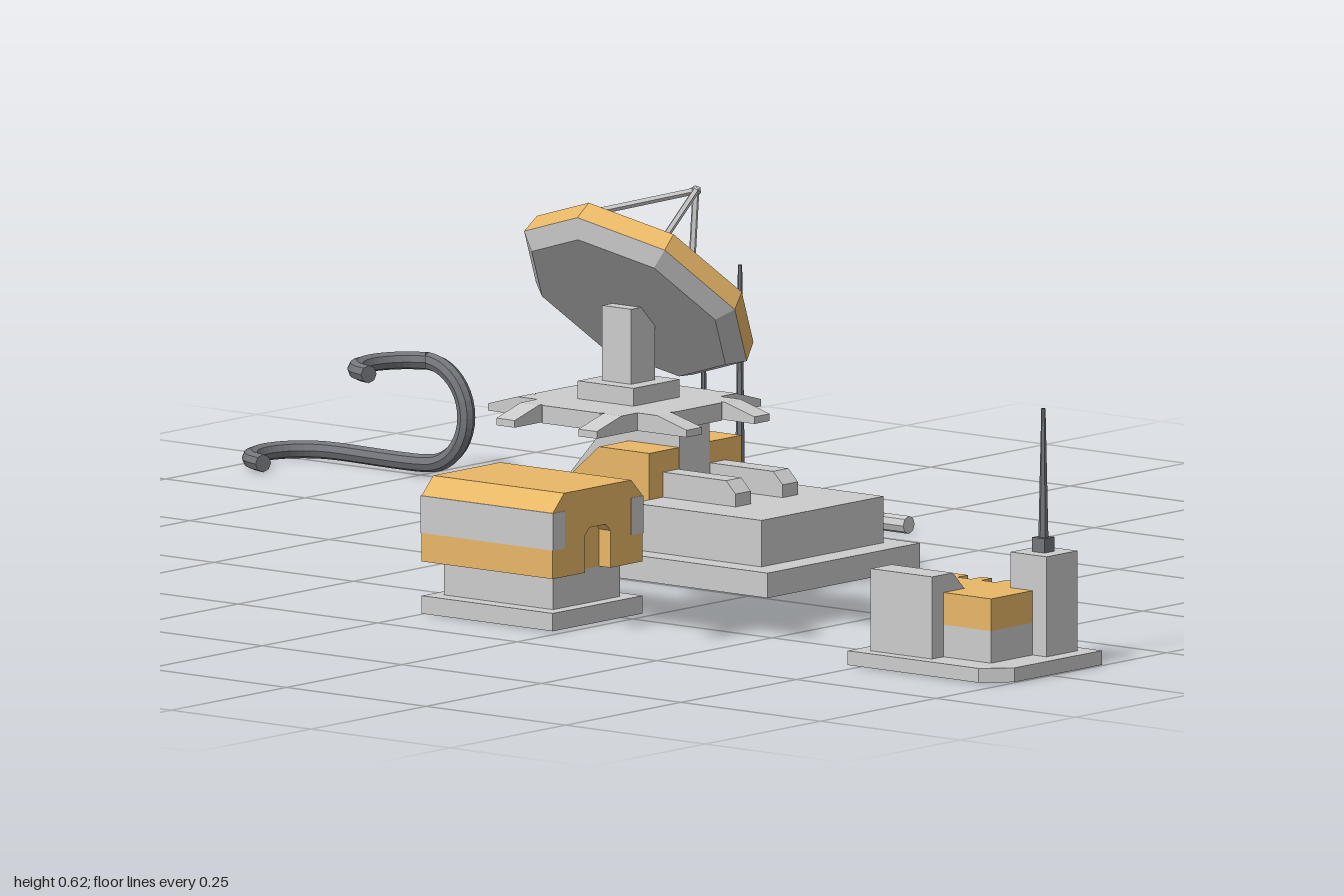
import * as THREE from 'three';

const mat = (color) => new THREE.MeshStandardMaterial({ color, flatShading: true });
const GREY = mat(0xcccccc), ORANGE = mat(0xe8b767), DARK = mat(0x73767c);

function add(parent, name, geometry, material = GREY) {
  const mesh = new THREE.Mesh(geometry, material);
  mesh.name = name;
  parent.add(mesh);
  return mesh;
}

function group(parent, name) {
  const g = new THREE.Group();
  g.name = name;
  parent.add(g);
  return g;
}

// Box given by its limits on each axis
function box(parent, name, [x0, x1], [y0, y1], [z0, z1], material) {
  const g = new THREE.BoxGeometry(x1 - x0, y1 - y0, z1 - z0);
  g.translate((x0 + x1) / 2, (y0 + y1) / 2, (z0 + z1) / 2);
  return add(parent, name, g, material);
}

// Outline extruded along one axis: 'z' takes (x, y), 'x' takes (z, y), 'y' takes (x, z)
function prism(parent, name, axis, points, [a, b], material) {
  const pts = points.map(([u, v]) =>
    new THREE.Vector2(axis === 'x' ? -u : u, axis === 'y' ? -v : v));
  const g = new THREE.ExtrudeGeometry(new THREE.Shape(pts), { depth: b - a, bevelEnabled: false });
  g.translate(0, 0, a);
  if (axis === 'x') g.rotateY(Math.PI / 2);
  if (axis === 'y') g.rotateX(-Math.PI / 2);
  return add(parent, name, g, material);
}

// Tapered mast on a small foot
function antenna(parent, x, z, y, footHeight, footWidth, top) {
  const w = footWidth / 2, y1 = y + footHeight;
  box(parent, 'antennaFoot', [x - w, x + w], [y, y1], [z - w, z + w], DARK);
  const g = new THREE.CylinderGeometry(0.003, 0.007, top - y1, 6);
  g.translate(x, (top + y1) / 2, z);
  add(parent, 'antennaMast', g, DARK);
}

function strut(parent, a, b) {
  const d = b.clone().sub(a);
  const m = add(parent, 'feedStrut', new THREE.CylinderGeometry(0.005, 0.005, d.length(), 5));
  m.position.copy(a).add(b).multiplyScalar(0.5);
  m.quaternion.setFromUnitVectors(new THREE.Vector3(0, 1, 0), d.normalize());
}

// Points along an arc; place() turns the in-plane pair into a 3D point
function arc(cu, cv, r, from, to, place) {
  return Array.from({ length: 10 }, (_, i) => {
    const t = THREE.MathUtils.degToRad(from + (to - from) * i / 9);
    return place(cu + r * Math.cos(t), cv + r * Math.sin(t));
  });
}

function pipe(parent, name, points) {
  const path = new THREE.CurvePath();
  for (let i = 1; i < points.length; i++) path.add(new THREE.LineCurve3(points[i - 1], points[i]));
  const curve = new THREE.CatmullRomCurve3(points, false, 'centripetal');
  add(parent, name, new THREE.TubeGeometry(curve, 72, 0.0125, 8), DARK);
  // End caps
  [0, 1].forEach((t) => {
    const cap = add(parent, name + 'End', new THREE.CircleGeometry(0.0125, 8), DARK);
    cap.position.copy(curve.getPointAt(t));
    const out = curve.getTangentAt(t).multiplyScalar(t ? 1 : -1);
    cap.quaternion.setFromUnitVectors(new THREE.Vector3(0, 0, 1), out);
  });
}

function buildCommandBuilding(root) {
  const g = group(root, 'commandBuilding');
  box(g, 'basePlate', [-0.21, 0.285], [0, 0.035], [-0.33, 0]);
  box(g, 'platform', [0.015, 0.245], [0.035, 0.1], [-0.3, -0.035]);
  prism(g, 'hall', 'z', [[-0.145, 0.035], [0.015, 0.035], [0.015, 0.165], [-0.075, 0.165], [-0.145, 0.105]],
    [-0.27, -0.07], ORANGE);
  prism(g, 'centralRib', 'z', [[-0.18, 0.035], [0.016, 0.035], [0.016, 0.2], [-0.1, 0.2], [-0.18, 0.11]],
    [-0.2, -0.135]);
  for (const z of [-0.235, -0.133]) {
    prism(g, 'roofDuct', 'z', [[0.015, 0.1], [0.145, 0.1], [0.145, 0.118], [0.128, 0.135], [0.015, 0.135]], [z, z + 0.033]);
  }
  antenna(g, -0.065, -0.285, 0.035, 0.05, 0.03, 0.265);
  antenna(g, 0, -0.285, 0.035, 0.05, 0.03, 0.4);
}

function buildHangar(root) {
  const g = group(root, 'hangar');
  box(g, 'basePlate', [0, 0.235], [0, 0.025], [0.21, 0.405]);
  box(g, 'plinth', [0.02, 0.215], [0.025, 0.073], [0.235, 0.38]);
  const roof = [[0.405, 0.073], [0.405, 0.165], [0.38, 0.19], [0.235, 0.19], [0.21, 0.165], [0.21, 0.073]];
  prism(g, 'body', 'x', roof, [0, 0.215], ORANGE);
  // End wall with a doorway cut from its lower edge
  prism(g, 'doorWall', 'x', [...roof, [0.28, 0.073], [0.28, 0.125], [0.29, 0.135], [0.325, 0.135], [0.335, 0.125], [0.335, 0.073]],
    [0.215, 0.235], ORANGE);
  for (const z of [[0.209, 0.235], [0.38, 0.406]]) {
    box(g, 'sideBand', [-0.001, 0.236], [0.113, 0.165], z);
  }
}

function buildRelayStation(root) {
  const g = group(root, 'relayStation');
  prism(g, 'basePlate', 'y', [[0.765, 0.14], [1, 0.14], [1, 0.33], [0.965, 0.365], [0.73, 0.365], [0.73, 0.175]], [0, 0.02]);
  prism(g, 'shelter', 'x', [[0.345, 0.02], [0.345, 0.135], [0.3, 0.135], [0.275, 0.11], [0.275, 0.02]], [0.755, 0.865]);
  // Machine block with two slots along its back
  const plan = [[0.775, 0.185], [0.775, 0.32], [0.95, 0.32], [0.95, 0.185]];
  for (const x of [0.865, 0.822]) {
    plan.push([x, 0.185], [x, 0.208], [x - 0.025, 0.208], [x - 0.025, 0.185]);
    box(g, 'slotPipe', [x - 0.025, x], [0.02, 0.085], [0.19, 0.21], DARK);
  }
  prism(g, 'machineBase', 'y', plan, [0.02, 0.065]);
  prism(g, 'machineBlock', 'y', plan, [0.065, 0.11], ORANGE);
  box(g, 'tower', [0.91, 0.975], [0.02, 0.16], [0.163, 0.23]);
  antenna(g, 0.942, 0.197, 0.16, 0.02, 0.022, 0.36);
}

function buildDish(root) {
  const g = group(root, 'dishAntenna');
  g.position.set(0.348, 0, 0.377);
  // Eight-sided foot with paired sloping legs
  const foot = new THREE.CylinderGeometry(0.135, 0.135, 0.025, 8);
  foot.rotateY(Math.PI / 8);
  foot.translate(0, 0.3225, 0);
  add(g, 'foot', foot);
  for (let i = 0; i < 4; i++) {
    const side = group(g, 'legPair');
    side.rotation.y = i * Math.PI / 2;
    for (const z of [-0.09, 0.057]) {
      prism(side, 'leg', 'z', [[0.05, 0.31], [0.178, 0.31], [0.178, 0.32], [0.125, 0.335], [0.05, 0.335]], [z, z + 0.033]);
    }
  }
  box(g, 'pedestal', [-0.05, 0.05], [0.335, 0.36], [-0.05, 0.05]);
  box(g, 'column', [-0.026, 0.026], [0.36, 0.465], [-0.026, 0.026]);

  // Reflector, tilted up and back
  const dish = group(g, 'reflector');
  dish.position.set(0, 0.419, 0.042);
  dish.rotation.x = -Math.PI / 4;
  const lathe = (name, pts, m) => add(dish, name,
    new THREE.LatheGeometry(pts.map((p) => new THREE.Vector2(...p)), 8), m);
  lathe('dishBack', [[0, 0.059], [0.155, 0.059], [0.178, 0.08]]);
  lathe('dishRim', [[0.178, 0.08], [0.173, 0.11], [0.145, 0.11], [0.13, 0.09]], ORANGE);
  lathe('dishFace', [[0.13, 0.09], [0.105, 0.08], [0.085, 0.078], [0, 0.072]]);
  const feed = new THREE.CylinderGeometry(0.016, 0.02, 0.03, 6);
  feed.translate(0, 0.088, 0);
  add(dish, 'feedStub', feed, DARK);
  const apex = new THREE.Vector3(0, 0.265, 0);
  for (const deg of [-42, 42, 180]) {
    const t = THREE.MathUtils.degToRad(deg), r = deg === 180 ? 0.135 : 0.158;
    strut(dish, new THREE.Vector3(r * Math.sin(t), 0.105, r * Math.cos(t)), apex);
  }
  const tip = new THREE.IcosahedronGeometry(0.008, 0);
  tip.translate(0, 0.265, 0);
  add(dish, 'feedTip', tip);
}

function buildPipes(root) {
  const g = group(root, 'pipes');
  const y0 = 0.0125, y1 = 0.157, z = -0.518, r = 0.072;
  const flat = (y) => (u, v) => new THREE.Vector3(u, y, v);
  // Hook on the ground, a loop upward, then a hook at the top
  pipe(g, 'loopPipe', [
    ...arc(-0.916, z + r, r, 100, 270, flat(y0)),
    ...arc(-0.755, (y0 + y1) / 2, r, -90, 90, (u, v) => new THREE.Vector3(u, v, z)),
    ...arc(-0.727, z + r, r, -90, -260, flat(y1)).slice(1),
  ]);
  // Single hook with a pale sleeve
  pipe(g, 'hookPipe', [
    ...arc(-0.115, -0.542 + r, r, 100, 270, flat(y0)),
    new THREE.Vector3(0, y0, -0.542),
    new THREE.Vector3(0.05, y0, -0.542),
  ]);
  const sleeve = new THREE.CylinderGeometry(0.0125, 0.0125, 0.045, 8);
  sleeve.rotateZ(Math.PI / 2);
  sleeve.translate(0.0675, y0, -0.542);
  add(g, 'pipeSleeve', sleeve);
}

export function createModel() {
  const root = new THREE.Group();
  root.name = 'outpost';
  buildCommandBuilding(root);
  buildHangar(root);
  buildRelayStation(root);
  buildDish(root);
  buildPipes(root);
  return root;
}
